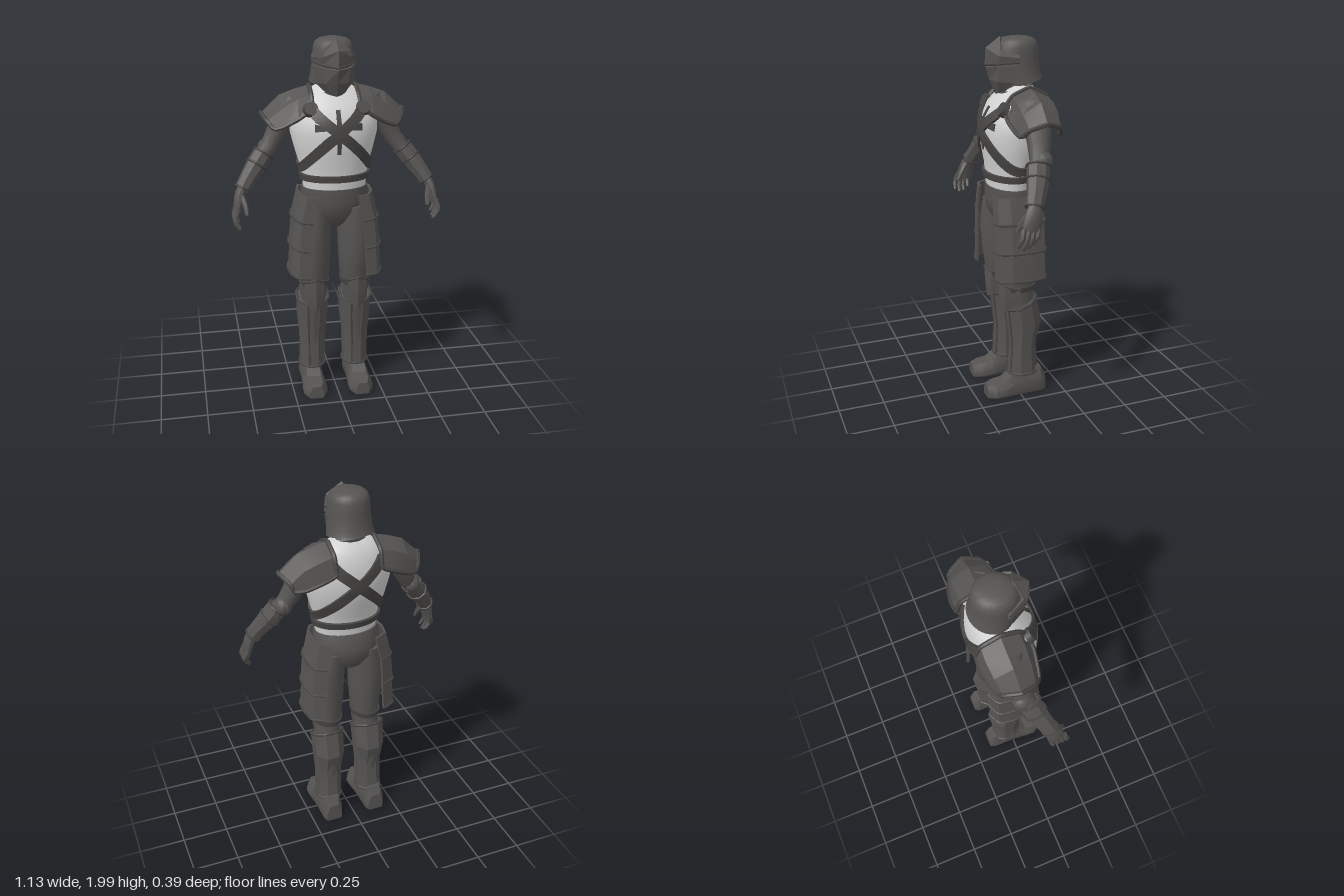
import * as THREE from 'three';
import { toCreasedNormals } from 'three/addons/utils/BufferGeometryUtils.js';

const V = (x, y, z) => new THREE.Vector3(x, y, z);
const mat = (name, color) => Object.assign(new THREE.MeshStandardMaterial({ color }), { name });

// Skin closed rings (counterclockwise about the advancing axis) and cap both ends
function skin(rings) {
  const m = rings[0].length, idx = [];
  const quad = (a, b, c, d) => idx.push(a, b, c, a, c, d);
  for (let i = 0; i < rings.length - 1; i++)
    for (let j = 0; j < m; j++) {
      const k = (j + 1) % m;
      quad(i * m + j, i * m + k, (i + 1) * m + k, (i + 1) * m + j);
    }
  const e = (rings.length - 1) * m;
  for (let j = 0; j < m / 2 - 1; j++) {
    quad(m - 1 - j, m - 2 - j, j + 1, j);
    quad(e + j, e + j + 1, e + m - 2 - j, e + m - 1 - j);
  }
  const g = new THREE.BufferGeometry().setFromPoints(rings.flat());
  g.setIndex(idx);
  return g;
}

// Horizontal ellipse: height, half width, back z, front z, centre x, tilt
const ring = (y, rx, z0, z1, n = 24, cx = 0, tilt = 0) => Array.from({ length: n }, (_, j) => {
  const a = ((j + 0.5) / n) * Math.PI * 2;
  const z = (z0 + z1) / 2 + (z1 - z0) / 2 * Math.cos(a);
  return V(cx + rx * Math.sin(a), y + tilt * z, z);
});
const stack = (rows, n) => skin(rows.map(([y, rx, z0, z1, cx, t]) => ring(y, rx, z0, z1, n, cx, t)));

// Limb along a path of [x, y, z, radius near z, radius across]
function limbRings(pts, n) {
  const c = pts.map(p => V(p[0], p[1], p[2]));
  return pts.map((p, i) => {
    const t = c[Math.min(i + 1, c.length - 1)].clone().sub(c[Math.max(i - 1, 0)]).normalize();
    const u = V(0, 0, 1).addScaledVector(t, -t.z).normalize(), v = t.clone().cross(u);
    return Array.from({ length: n }, (_, j) => {
      const a = ((j + 0.5) / n) * Math.PI * 2;
      return c[i].clone().addScaledVector(u, p[3] * Math.cos(a)).addScaledVector(v, p[4] * Math.sin(a));
    });
  });
}
const limb = (pts, n = 12) => skin(limbRings(pts, n));

// Open sheet of point rows given a thickness
function plate(rows, t = 0.014) {
  const at = (i, j) => rows[Math.max(0, Math.min(rows.length - 1, i))][Math.max(0, Math.min(rows[0].length - 1, j))];
  return skin(rows.map((row, i) => {
    const inner = row.map((p, j) => {
      const n = at(i, j + 1).clone().sub(at(i, j - 1)).cross(at(i + 1, j).clone().sub(at(i - 1, j))).normalize();
      return p.clone().addScaledVector(n, -t);
    });
    return [...row, ...inner.reverse()];
  }));
}

const rim = (pts, r = 0.009, closed = false) =>
  new THREE.TubeGeometry(new THREE.CatmullRomCurve3(pts, closed, 'catmullrom', 0.15), pts.length * 4, r, 6, closed);

// Half row (from x = -a to the middle) completed by mirroring, shifted by cx
const mirrorRow = (half, cx = 0) => [...half, ...half.slice(0, -1).reverse().map(([x, y, z]) => [-x, y, z])]
  .map(([x, y, z]) => V(x + cx, y, z));

function flip(geo) {
  const g = geo.clone().scale(-1, 1, 1), a = g.index.array;
  for (let i = 0; i < a.length; i += 3) [a[i], a[i + 1]] = [a[i + 1], a[i]];
  return g;
}

// Torso sections: height, half width, back z, front z
const TORSO = [[1.18, .168, -.11, .12], [1.25, .176, -.115, .125], [1.32, .186, -.13, .13], [1.4, .21, -.165, .145],
  [1.5, .235, -.188, .157], [1.58, .238, -.188, .142], [1.65, .212, -.172, .1], [1.7, .16, -.152, .05], [1.74, .09, -.115, .01]];
function onTorso(a, y, off) {
  let i = 0;
  while (i < TORSO.length - 2 && y > TORSO[i + 1][0]) i++;
  const f = (y - TORSO[i][0]) / (TORSO[i + 1][0] - TORSO[i][0]);
  const [, rx, z0, z1] = TORSO[i].map((v, k) => v + (TORSO[i + 1][k] - v) * f);
  return V((rx + off) * Math.sin(a), y, (z0 + z1) / 2 + ((z1 - z0) / 2 + off) * Math.cos(a));
}
// Band lying on the torso between two angles
function band(a0, a1, yAt, hAt, off, n = 28) {
  return plate(Array.from({ length: n + 1 }, (_, i) => {
    const a = a0 + (a1 - a0) * i / n;
    return [1, .5, 0, -.5, -1].map(k => onTorso(a, yAt(a) + k * hAt(a), off));
  }), off + 0.004);
}

export function createModel() {
  const model = new THREE.Group();
  const armour = mat('dark armour', 0x565452), strap = mat('strap leather', 0x474543), cloth = mat('pale cloth', 0xd2d2d2);
  const add = (name, geo, m = armour, crease = 0.6) => {
    const mesh = new THREE.Mesh(toCreasedNormals(geo, crease), m);
    mesh.name = name;
    model.add(mesh);
  };
  const pair = (name, geo, m, crease) => {
    add('left ' + name, geo, m, crease);
    add('right ' + name, flip(geo), m, crease);
  };

  // Torso, neck and pelvis
  add('torso', stack(TORSO, 32), cloth, 0.8);
  add('pelvis', stack([[.965, .03, -.05, .03], [1, .09, -.11, .08], [1.06, .16, -.145, .118], [1.13, .188, -.15, .13], [1.205, .18, -.12, .128]], 24), armour, 0.9);
  add('neck', stack([[1.66, .075, -.12, .04], [1.82, .06, -.1, .03]], 16));
  add('collar', new THREE.TorusGeometry(.08, .014, 6, 24).rotateX(Math.PI / 2 + .3).translate(0, 1.72, -.035));

  // Belt, crossed straps and chest cross
  add('belt', band(0, Math.PI * 2, () => 1.265, () => .017, .014, 40), strap);
  const cross = band(-.6, Math.PI + .6, a => 1.31 + .205 * (1 - Math.sin(a)), a => .02 + .016 * Math.abs(Math.cos(a)), .014, 40);
  pair('chest strap', flip(cross), strap);
  add('chest cross bar', band(-.54, .54, () => 1.545, a => .011 + .03 * a * a, .005), strap);
  add('chest cross upright', band(-.05, .05, () => 1.52, () => .115, .005, 4), strap);

  // Helmet with beaked visor and pointed mask
  add('helmet', stack([[1.752, .124, -.175, .05, 0, -.15], [1.8, .116, -.165, .065], [1.88, .108, -.157, .08], [1.935, .105, -.153, .078],
    [1.965, .095, -.143, .06], [1.98, .075, -.122, .038], [1.988, .04, -.09, 0]], 24), armour, 0.75);
  const visor = [[[-.116, 1.868, -.015], [-.075, 1.86, .08], [0, 1.85, .135]], [[-.119, 1.89, -.01], [-.078, 1.9, .087], [0, 1.935, .13]],
    [[-.117, 1.905, -.015], [-.075, 1.93, .075], [0, 1.992, .05]]].map(r => mirrorRow(r));
  add('visor', plate(visor), armour, 0.3);
  add('visor rim', rim(visor[0], .006), strap);
  add('face mask', plate([[[-.05, 1.71, .045], [-.03, 1.703, .07], [0, 1.695, .078]], [[-.1, 1.76, .01], [-.06, 1.765, .085], [0, 1.77, .11]],
    [[-.115, 1.85, -.005], [-.07, 1.842, .08], [0, 1.838, .132]]].map(r => mirrorRow(r))), armour, 0.3);

  // Shoulder plates with thick rims and round studs
  const shoulder = [
    [[.125, 1.6, -.19], [.125, 1.69, -.165], [.125, 1.738, -.065], [.125, 1.7, .03], [.13, 1.635, .078]],
    [[.2, 1.57, -.192], [.2, 1.67, -.167], [.2, 1.72, -.065], [.2, 1.68, .035], [.2, 1.585, .08]],
    [[.275, 1.54, -.176], [.28, 1.635, -.158], [.285, 1.69, -.063], [.28, 1.635, .032], [.275, 1.545, .068]],
    [[.33, 1.53, -.152], [.348, 1.57, -.142], [.382, 1.6, -.06], [.358, 1.57, .025], [.325, 1.53, .055]],
  ].map(r => r.map(p => V(...p)));
  pair('shoulder plate', plate(shoulder), armour, 0.25);
  pair('shoulder rim', rim([...shoulder[0], shoulder[1][4], shoulder[2][4], ...shoulder[3].slice().reverse(), shoulder[2][0], shoulder[1][0]], .012, true), strap);
  pair('shoulder stud', new THREE.CylinderGeometry(.036, .042, .03, 16).rotateX(1.05).translate(.137, 1.637, .085), strap);

  // Arms, elbow caps and bracers
  pair('arm', limb([[.2, 1.66, -.055, .075, .06], [.265, 1.58, -.052, .074, .06], [.308, 1.49, -.045, .062, .053], [.345, 1.425, -.032, .052, .046],
    [.39, 1.37, -.015, .05, .045], [.44, 1.31, .01, .045, .042], [.5, 1.225, .05, .032, .03]]), armour, 0.9);
  pair('elbow cap', new THREE.SphereGeometry(.052, 10, 8).scale(.9, 1, 1).translate(.362, 1.41, -.045));
  const bracer = [[.378, 1.392, -.012, .06, .054], [.42, 1.335, .005, .06, .054], [.465, 1.275, .032, .05, .046], [.5, 1.222, .055, .046, .042]];
  pair('bracer', limb(bracer, 8), armour, 0.3);
  const cuffs = limbRings(bracer, 8);
  for (const i of [0, 1, 3]) pair('bracer rim', rim(cuffs[i], .007, true), strap);

  // Hands
  pair('palm', limb([[.498, 1.235, .05, .032, .028], [.52, 1.19, .066, .044, .026], [.533, 1.13, .082, .05, .022], [.535, 1.1, .088, .047, .018]], 10));
  for (let i = 0; i < 4; i++) {
    const z = .048 + .026 * i, lift = [.025, .005, 0, .015][i];
    pair('finger', limb([[.535, 1.125, z, .014, .016], [.55, 1.085, z + .01, .014, .014], [.546, 1.05 + lift, z + .018, .012, .012],
      [.525, 1.017 + lift, z + .022, .008, .008]], 6));
  }
  pair('thumb', limb([[.508, 1.19, .085, .02, .016], [.492, 1.145, .118, .016, .015], [.487, 1.1, .142, .01, .01]], 6));

  // Legs
  pair('leg', stack([[.1, .055, -.1, .05, .128], [.25, .06, -.1, .042, .125], [.4, .075, -.12, .053, .123], [.5, .075, -.115, .068, .122], [.6, .07, -.095, .083, .118],
    [.68, .08, -.1, .1, .113], [.8, .09, -.115, .118, .115], [.95, .1, -.13, .127, .12], [1.1, .085, -.135, .115, .105]], 16), armour, 0.9);

  // Greaves with rims and a front ridge
  const greave = [[.125, .074, -.12, .055, .125], [.31, .077, -.105, .046, .124], [.43, .09, -.138, .06, .123], [.545, .093, -.105, .07, .123, -.4]];
  pair('greave', stack(greave, 8), armour, 0.25);
  for (const i of [0, 3]) {
    const [y, rx, z0, z1, cx, t] = greave[i];
    pair('greave rim', rim(ring(y, rx, z0, z1, 8, cx, t), .008, true), strap);
  }
  for (const s of [-1, 1])
    pair('greave ridge', rim([[.13, .028, .048], [.31, .029, .04], [.43, .034, .053], [.515, .035, .063]].map(([y, x, z]) => V(.124 + s * x, y, z)), .005), strap);

  // Knee plates
  const knee = [[[-.064, .54, .02], [-.04, .52, .075], [0, .5, .092]], [[-.08, .6, .01], [-.045, .6, .088], [0, .6, .105]],
    [[-.082, .65, .01], [-.05, .668, .083], [0, .688, .108]]].map(r => mirrorRow(r, .118));
  pair('knee plate', plate(knee), armour, 0.3);
  pair('knee rim', rim(knee[2], .007), strap);
  pair('knee strap', stack([[.63, .08, -.102, .095, .115], [.66, .085, -.106, .1, .115]], 16), strap);

  // Boots: heel to toe sections of [z, half width, height]
  pair('boot', skin([[-.155, .046, .1], [-.125, .06, .15], [-.01, .06, .15], [.04, .063, .125], [.09, .068, .085], [.145, .068, .078], [.19, .04, .07]]
    .map(([z, w, h]) => [[.9, 0], [1, .15], [.95, .55], [.6, 1], [-.6, 1], [-.95, .55], [-1, .15], [-.9, 0]].map(([x, y]) => V(.132 + w * x, h * y, z)))), armour, 0.5);

  // Three overlapping hip plates on each thigh
  const outline = [[.15, .14], [.21, .132], [.242, .07], [.25, -.03], [.235, -.115], [.165, -.148]];
  for (const [y0, y1, low, high] of [[.712, .89, .008, -.004], [.87, 1.04, .002, -.014], [1.03, 1.175, -.012, -.045]]) {
    const row = (y, d) => outline.map(([x, z]) => V(x + d, y + .1 * (x - .2), z * (1 + d * .5)));
    pair('hip plate', plate([row(y0, low), row(y1, high)], .012), armour, 0.3);
    pair('hip plate rim', rim(row(y0 + .004, low), .007), strap);
  }
  return model;
}
